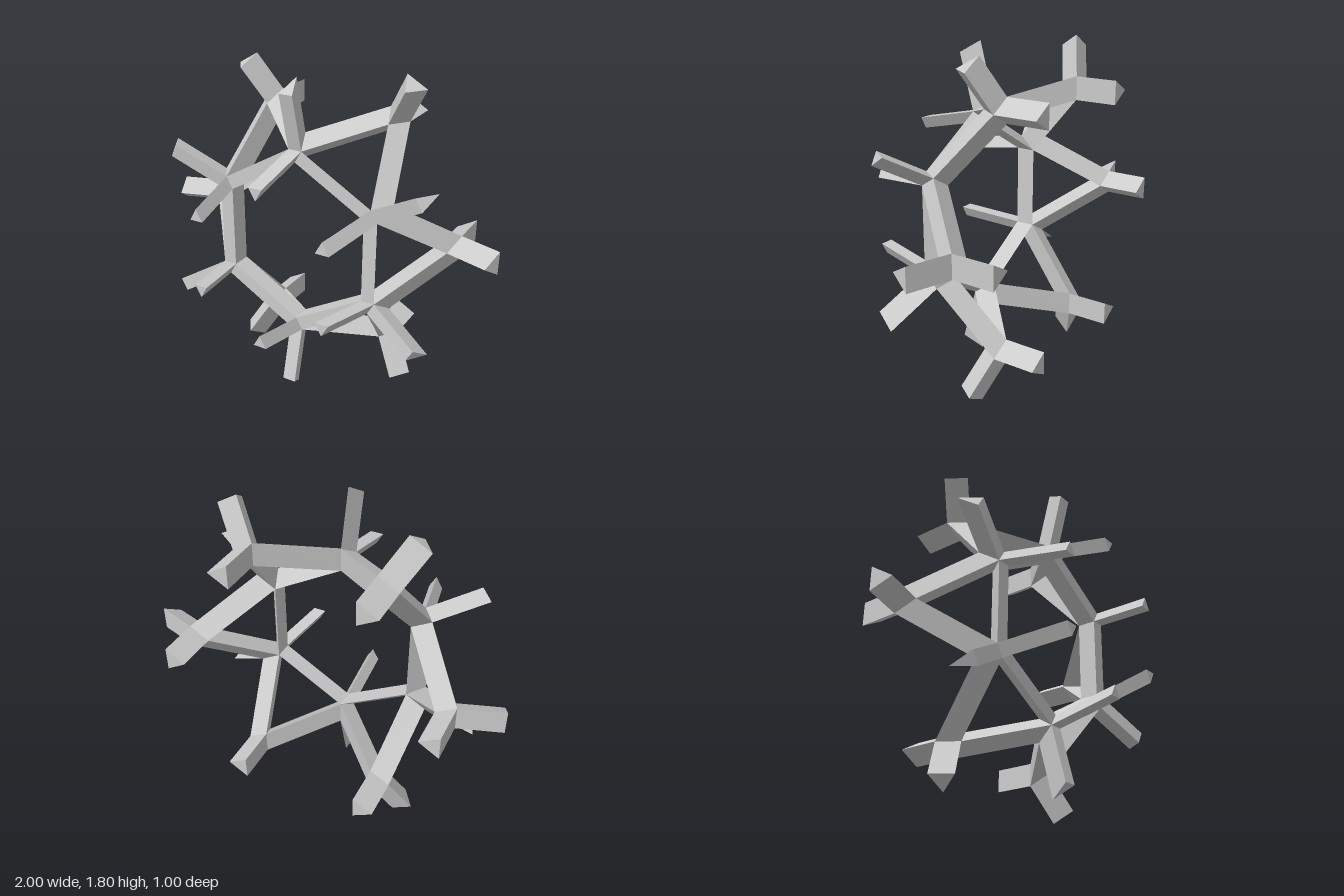
import * as THREE from 'three';

const V = (x, y, z) => new THREE.Vector3(x, y, z);
const turn = (points, deg) => points.map(p => p.clone().applyAxisAngle(V(0, 0, 1), THREE.MathUtils.degToRad(deg)));
const mirror = points => points.map(p => V(p.x, -p.y, p.z));
const shift = (points, x, y, z) => points.map(p => p.clone().add(V(x, y, z)));

// Three-sided bar lofted from triangle a to triangle b, optionally closed at b
function bar(a, b, capped) {
  const normal = a[1].clone().sub(a[0]).cross(a[2].clone().sub(a[0]));
  if (normal.dot(b[0].clone().sub(a[0])) < 0) {
    a = [...a].reverse();
    b = [...b].reverse();
  }
  const corners = [];
  for (let i = 0; i < 3; i++) {
    const j = (i + 1) % 3;
    corners.push(a[i], a[j], b[j], a[i], b[j], b[i]);
  }
  if (capped) corners.push(...b);
  const geometry = new THREE.BufferGeometry().setFromPoints(corners);
  geometry.computeVertexNormals();
  return geometry;
}

export function createModel() {
  const model = new THREE.Group();
  model.name = 'ringLattice';
  const material = new THREE.MeshStandardMaterial({ color: 0xcccccc, flatShading: true });

  // Outer joint on the +x axis: a tetrahedron
  const sideUp = V(0.77, 0.065, -0.27), sideDown = V(0.77, -0.065, -0.27);
  const front = V(0.733, 0, -0.164), back = V(0.66, 0, -0.27);

  // Inner joint, described on the +x axis: a five-cornered double pyramid
  const pUp = V(0.525, 0.038, 0.143), pDown = V(0.525, -0.038, 0.143);
  const crest = V(0.59, 0, 0.037), rear = V(0.46, 0, 0.037), inner = V(0.46, 0, 0.143);

  const outerFace = [sideUp, front, back];
  const innerFace = turn([crest, pDown, rear], 30);
  const outerRadial = [sideUp, sideDown, front];
  const outerBack = [sideUp, sideDown, back];
  const innerRadial = [pUp, pDown, crest];
  const innerFront = [pUp, pDown, inner];

  // Parts of one sixth of the ring
  const parts = {
    outerStrut: bar(outerFace, innerFace),
    outerStrutMirrored: bar(mirror(outerFace), mirror(innerFace)),
    innerRingBar: bar(turn([pUp, inner, rear], 30), turn([pDown, inner, rear], 90)),
    outerRadialStub: bar(outerRadial, shift(outerRadial, 0.23, 0, 0.075), true),
    outerBackStub: bar(outerBack, shift(outerBack, 0, 0, -0.23), true),
    innerRadialStub: bar(turn(innerRadial, 30), turn(shift(innerRadial, 0.305, 0, 0.082), 30), true),
    innerFrontStub: bar(turn(innerFront, 30), turn(shift(innerFront, -0.08, 0, 0.36), 30), true),
  };

  // Six turned copies complete the ring
  for (let k = 0; k < 6; k++) {
    const sector = new THREE.Group();
    sector.name = `ringSector${k + 1}`;
    for (const [name, geometry] of Object.entries(parts)) {
      const mesh = new THREE.Mesh(geometry, material);
      mesh.name = name;
      sector.add(mesh);
    }
    sector.rotation.z = k * Math.PI / 3;
    sector.position.y = 0.8985;
    model.add(sector);
  }
  return model;
}
